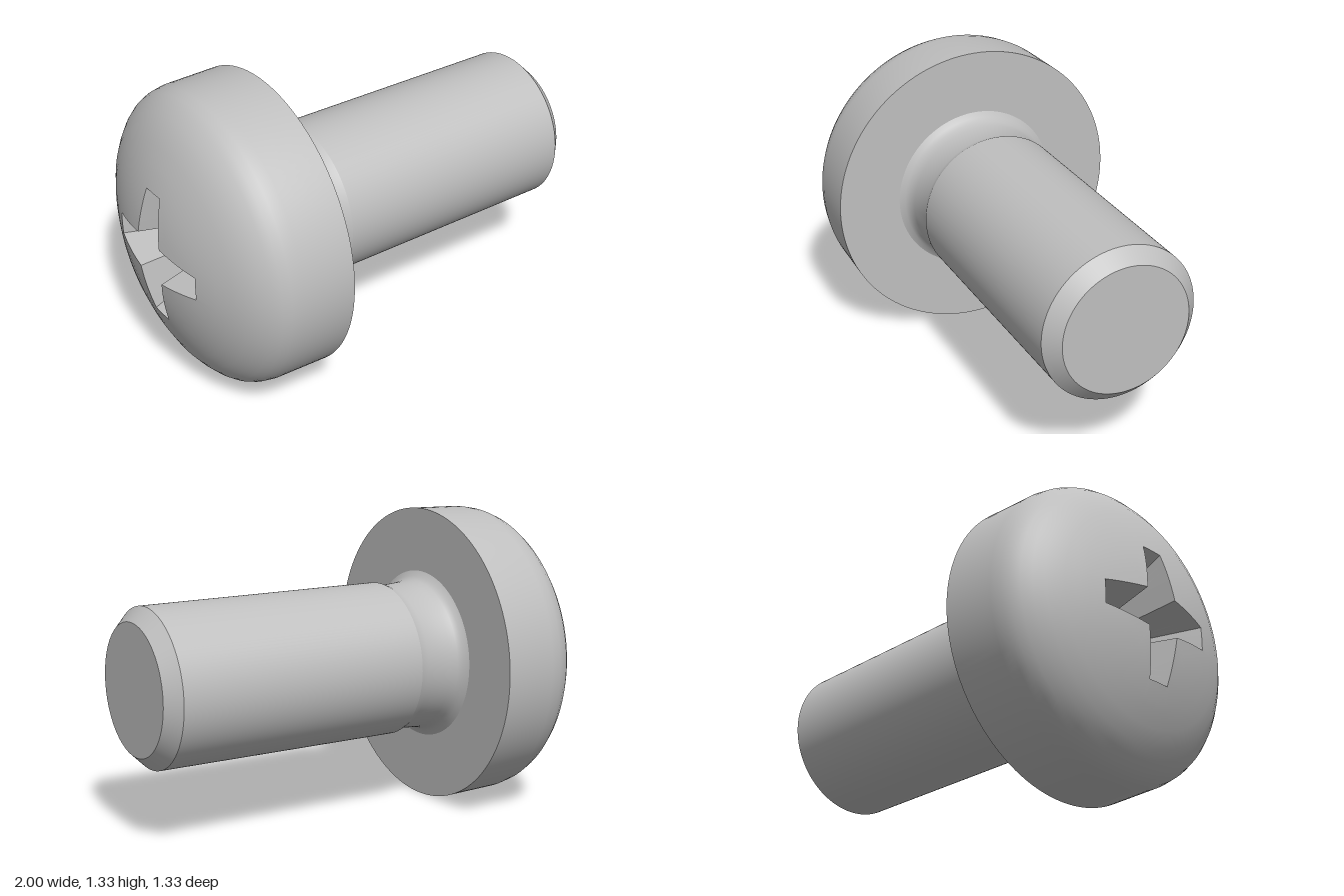
import * as THREE from 'three';
import { toCreasedNormals } from 'three/addons/utils/BufferGeometryUtils.js';

const N = 144; // sides round the axis, 2.5 degrees each

// Skin a series of rings; each ring gives [x, radius] for an angle round the x axis
function loft(rings) {
  const pos = [], index = [];
  rings.forEach((ring, i) => {
    for (let j = 0; j < N; j++) {
      const a = (j / N) * Math.PI * 2;
      const [x, r] = ring(a);
      pos.push(x, r * Math.cos(a), r * Math.sin(a));
      if (i === 0) continue;
      const k = (j + 1) % N, p = (i - 1) * N, q = i * N;
      index.push(p + j, p + k, q + j, p + k, q + k, q + j);
    }
  });
  const g = new THREE.BufferGeometry();
  g.setAttribute('position', new THREE.Float32BufferAttribute(pos, 3));
  g.setIndex(index);
  return toCreasedNormals(g, 0.55);
}

const circles = (profile) => profile.map((p) => () => p);
const dome = (r) => -1.005 + 0.49 * r * r;

// Cross outline in polar form: four flat-ended arms flaring towards the middle
function crossRadius(angle) {
  const q = Math.PI / 2;
  const a = Math.abs(angle - Math.round(angle / q) * q);
  const tip = 0.3, half = tip * Math.tan(Math.PI / 18), inner = 0.085;
  if (a <= Math.PI / 18 + 1e-6) return tip / Math.cos(a);
  const dx = inner - tip, dy = inner - half;
  return (tip * dy - half * dx) / (Math.cos(a) * dy - Math.sin(a) * dx);
}

export function createModel() {
  const steel = new THREE.MeshStandardMaterial({ color: 0xbfbfbf });
  steel.name = 'steel grey';
  const model = new THREE.Group();
  model.name = 'screw';

  const add = (name, rings) => {
    const mesh = new THREE.Mesh(loft(rings), steel);
    mesh.name = name;
    mesh.position.x = 0.44;
    axis.add(mesh);
  };

  // The axis leans very slightly, pivoting at the underside of the head
  const axis = new THREE.Group();
  axis.name = 'screwAxis';
  axis.position.set(-0.44, 0.666, 0);
  axis.rotation.y = -0.016;
  model.add(axis);

  // Domed head, from the rim of the recess out to the underside
  const domeRings = [0, 0.25, 0.5, 0.75, 1].map((t) => (a) => {
    const r = THREE.MathUtils.lerp(crossRadius(a), 0.4, t);
    return [dome(r), r];
  });
  add('head', [
    ...domeRings,
    ...circles([
      [dome(0.47), 0.47], [-0.862, 0.535], [-0.83, 0.577], [-0.797, 0.612],
      [-0.765, 0.636], [-0.73, 0.651], [-0.68, 0.66], [-0.44, 0.666], [-0.44, 0.38],
    ]),
  ]);

  // Tapered cross recess, from its floor up to the rim
  add('crossRecess', [
    () => [-0.61, 0],
    (a) => [-0.66, 0.45 * crossRadius(a)],
    (a) => [dome(crossRadius(a)), crossRadius(a)],
  ]);

  // Filleted neck under the head
  add('neck', circles([
    [-0.44, 0.38], [-0.425, 0.357], [-0.405, 0.342], [-0.37, 0.334], [-0.26, 0.326], [-0.215, 0.344],
  ]));

  // Plain shank with a chamfered end
  add('shank', circles([[-0.215, 0.344], [0.935, 0.344], [0.997, 0.284], [0.997, 0]]));

  return model;
}
